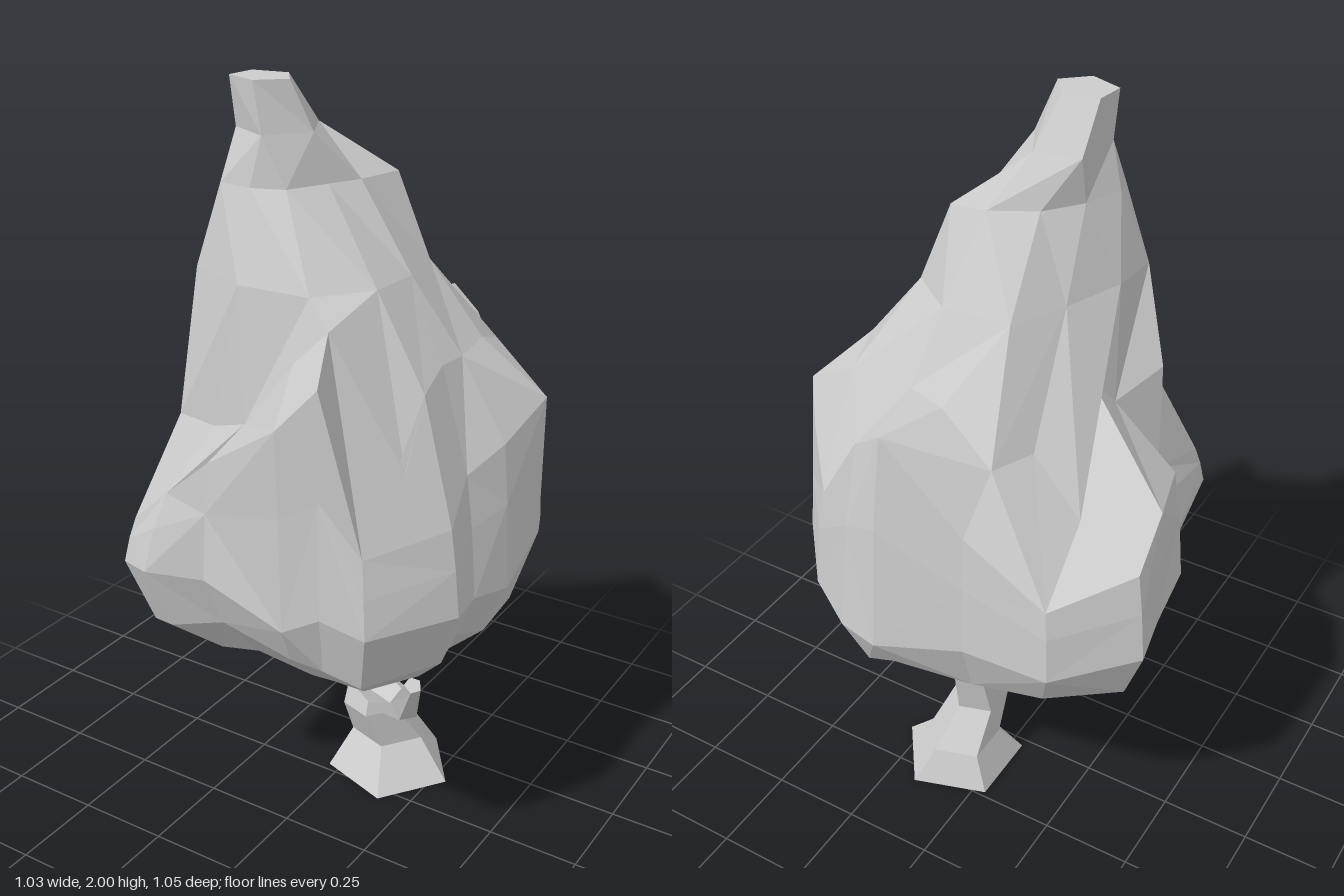
import * as THREE from 'three';

const V = (x, y, z) => new THREE.Vector3(x, y, z);

// Repeatable wobble between -1 and 1
function wobble(n) {
  const s = Math.sin(n * 127.1 + 11.7) * 43758.5453;
  return (s - Math.floor(s)) * 2 - 1;
}

// Skin a list of closed rings (bottom to top) with flat triangles
function skin(rings, name) {
  const pos = [];
  const tri = (a, b, c) => {
    const area = b.clone().sub(a).cross(c.clone().sub(a)).length();
    if (area > 1e-6) pos.push(...a.toArray(), ...b.toArray(), ...c.toArray());
  };
  for (let i = 0; i < rings.length - 1; i++) {
    const lo = rings[i], hi = rings[i + 1], n = lo.length;
    for (let j = 0; j < n; j++) {
      const k = (j + 1) % n;
      if ((i + j) % 2) {
        tri(lo[j], hi[j], lo[k]);
        tri(hi[j], hi[k], lo[k]);
      } else {
        tri(lo[j], hi[j], hi[k]);
        tri(lo[j], hi[k], lo[k]);
      }
    }
  }
  const geo = new THREE.BufferGeometry();
  geo.setAttribute('position', new THREE.Float32BufferAttribute(pos, 3));
  geo.computeVertexNormals();
  const mesh = new THREE.Mesh(geo, new THREE.MeshStandardMaterial({ color: 0xcccccc, flatShading: true }));
  mesh.name = name;
  return mesh;
}

// Limb through [x, y, z, radius, axis] stations, closed at both ends
function limb(stations, sides, name) {
  const up = V(0, 1, 0);
  const rings = stations.map(([x, y, z, r, axis]) => {
    const q = new THREE.Quaternion().setFromUnitVectors(up, (axis || up).clone().normalize());
    return Array.from({ length: sides }, (_, j) => {
      const a = (j / sides) * Math.PI * 2;
      return V(Math.cos(a) * r, 0, Math.sin(a) * r).applyQuaternion(q).add(V(x, y, z));
    });
  });
  const cap = ([x, y, z]) => Array.from({ length: sides }, () => V(x, y, z));
  return skin([cap(stations[0]), ...rings, cap(stations.at(-1))], name);
}

// Crown columns: widest x, z, shoulder height, shoulder scale
const columns = [
  [0.51, 0.0, 1.15, 0.95], [0.48, 0.12, 1.1, 0.92], [0.51, 0.26, 1.02, 0.93],
  [0.39, 0.49, 1.0, 0.92], [0.26, 0.48, 1.41, 1.03], [0.16, 0.49, 1.3, 1.06],
  [-0.13, 0.41, 1.1, 0.94], [-0.27, 0.47, 1.0, 0.87], [-0.34, 0.46, 0.92, 0.94],
  [-0.36, 0.27, 0.98, 0.84], [-0.45, 0.09, 1.1, 0.92], [-0.49, -0.13, 1.14, 0.98],
  [-0.52, -0.27, 1.04, 0.94], [-0.34, -0.43, 0.97, 0.96], [-0.12, -0.46, 1.12, 0.94],
  [0.1, -0.53, 1.36, 0.88], [0.2, -0.52, 1.3, 0.86], [0.36, -0.41, 1.05, 0.93],
  [0.46, -0.29, 1.16, 0.94], [0.51, -0.17, 1.22, 1.0],
];

// Where each column's bulge meets the tapering top: x, y, z
const creases = [
  [0.37, 1.36, 0.02], [0.36, 1.36, 0.1], [0.37, 1.32, 0.2], [0.38, 1.16, 0.3],
  [0.21, 1.49, 0.36], [0.12, 1.4, 0.37], [-0.02, 1.22, 0.37], [-0.13, 1.18, 0.34],
  [-0.25, 1.18, 0.32], [-0.3, 1.3, 0.22], [-0.23, 1.24, 0.1], [-0.2, 1.33, 0.03],
  [-0.31, 1.11, -0.22], [-0.18, 1.26, -0.22], [-0.13, 1.26, -0.33], [0.03, 1.36, -0.29],
  [0.13, 1.37, -0.27], [0.23, 1.18, -0.35], [0.34, 1.33, -0.22], [0.36, 1.37, -0.1],
];

// Upper rings with two columns sharing each corner: height, then x, z corners
const upper = [
  [1.55, [[0.25, 0.06], [0.24, 0.2], [0.14, 0.33], [-0.05, 0.34], [-0.22, 0.27],
    [-0.21, 0.14], [-0.15, -0.02], [-0.08, -0.16], [0.1, -0.17], [0.22, -0.08]]],
  [1.76, [[0.11, 0.06], [0.07, 0.14], [0.02, 0.24], [-0.06, 0.27], [-0.15, 0.26],
    [-0.17, 0.2], [-0.13, 0.1], [-0.06, 0.01], [0.05, -0.05], [0.14, -0.06]]],
];

// Tip rings: height, centre x, centre z, radius x, radius z
const tip = [[1.88, -0.055, 0.15, 0.1, 0.11], [2.0, -0.075, 0.19, 0.08, 0.065]];

function crown() {
  const ring = (fn) => columns.map(([x, z, h, s], j) => fn(x, z, h, s, j));
  return skin([
    ring(() => V(0.04, 0.425, 0)),
    ring((x, z, h, s, j) => V(x * 0.68, 0.52 + 0.02 * wobble(j >> 1), z * 0.58)),
    ring((x, z, h, s, j) => V(x * 0.88, 0.63 + 0.025 * wobble(j + 9), z * 0.87)),
    ring((x, z, h, s, j) => V(x, 0.8 + 0.05 * wobble(j + 30), z)),
    ring((x, z, h, s) => V(x * (0.55 + s * 0.45), 0.8 + (h - 0.8) * 0.55, z * (0.55 + s * 0.45))),
    ring((x, z, h, s) => V(x * s, h, z * s)),
    creases.map((p) => V(...p)),
    ...upper.map(([y, pts]) => ring((x, z, h, s, j) => V(pts[j >> 1][0], y, pts[j >> 1][1]))),
    // Four columns share each corner of the tip
    ...tip.map(([y, cx, cz, rx, rz]) => ring((x, z, h, s, j) => {
      const a = ((j >> 2) / 5) * Math.PI * 2 + 0.1;
      return V(cx + Math.cos(a) * rx, y, cz + Math.sin(a) * rz);
    })),
    ring(() => V(-0.075, 2.0, 0.19)),
  ], 'crown');
}

export function createModel() {
  const group = new THREE.Group();
  group.name = 'tree';
  group.add(crown());

  // Crooked trunk with a flared foot, running up into the crown
  group.add(limb([
    [0.11, 0, -0.13, 0.18], [0.09, 0.105, -0.15, 0.105], [0.07, 0.22, -0.085, 0.08],
    [0.07, 0.34, -0.115, 0.07], [0.07, 0.48, -0.15, 0.07], [0.06, 0.7, -0.19, 0.05],
  ], 5, 'trunk'));

  // Short bent side branch
  group.add(limb([
    [0.07, 0.275, -0.09, 0.065, V(1, 0.2, 0.45)],
    [0.225, 0.31, 0.0, 0.045, V(1, 0.9, 0.6)],
    [0.295, 0.445, 0.085, 0.024, V(0.5, 1, 0.5)],
  ], 5, 'branch'));
  return group;
}
